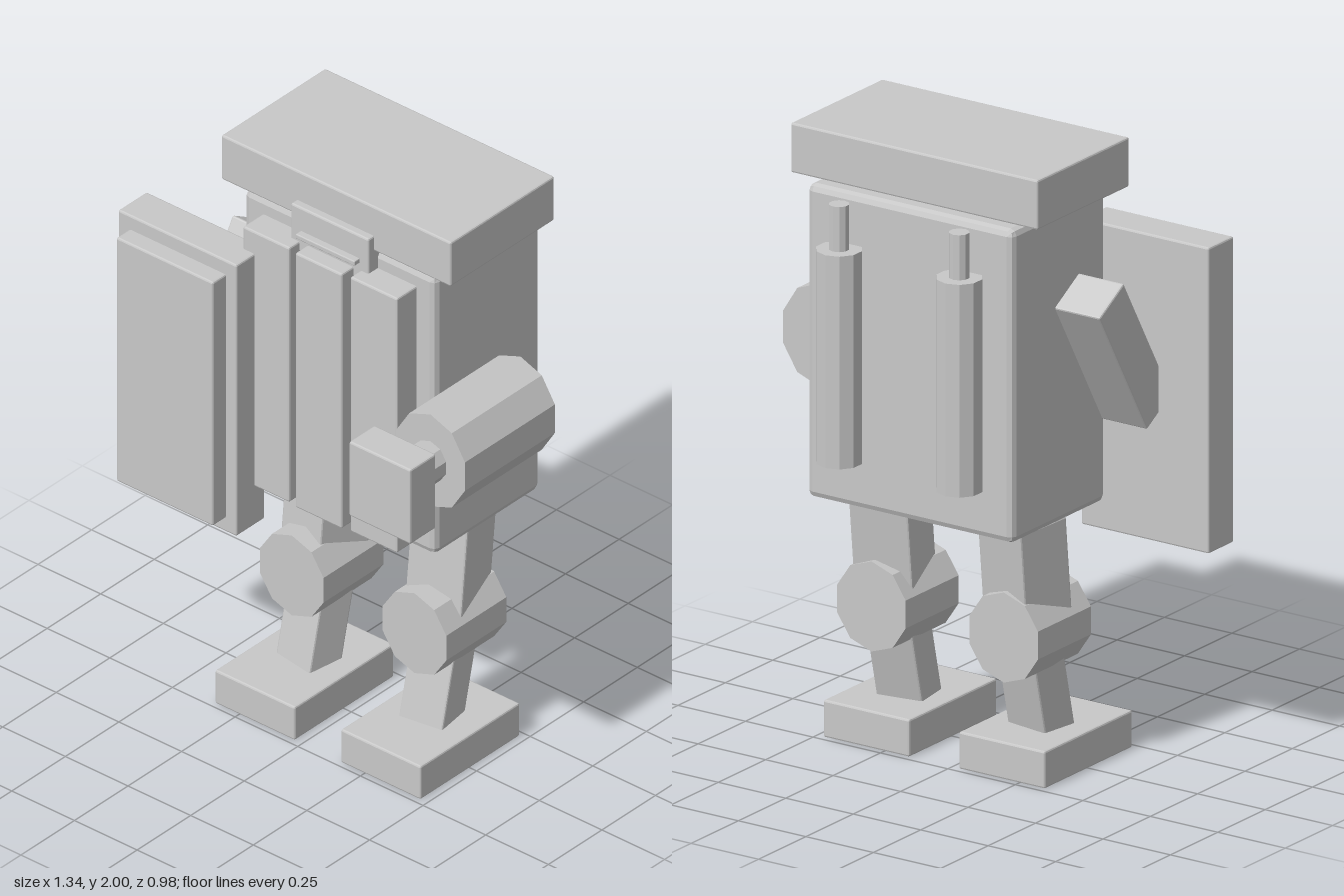
import * as THREE from 'three';
import { RoundedBoxGeometry } from 'three/addons/geometries/RoundedBoxGeometry.js';

const grey = new THREE.MeshStandardMaterial({ color: 0xc8c8c8 });
grey.name = 'plainGrey';
grey.flatShading = true;

export function createModel() {
  const model = new THREE.Group();
  model.name = 'robot';

  function add(name, geometry, x, y, z) {
    const mesh = new THREE.Mesh(geometry, grey);
    mesh.name = name;
    mesh.position.set(x, y, z);
    model.add(mesh);
    return mesh;
  }

  // Box with chamfered edges, given by its limits on each axis
  function block(name, [x0, x1], [y0, y1], [z0, z1], bevel = 0.006) {
    const g = new RoundedBoxGeometry(x1 - x0, y1 - y0, z1 - z0, 1, bevel);
    g.computeVertexNormals();
    return add(name, g, (x0 + x1) / 2, (y0 + y1) / 2, (z0 + z1) / 2);
  }

  // Ten-sided cylinder lying along z, with its own width and height
  function drumZ(name, rx, ry, x, y, z0, z1) {
    const g = new THREE.CylinderGeometry(1, 1, z1 - z0, 10);
    g.rotateX(Math.PI / 2);
    g.scale(rx, ry, 1);
    return add(name, g, x, y, (z0 + z1) / 2);
  }

  // Head: flat top slab, face box and visor bar
  block('topSlab', [-0.395, 0.52], [1.84, 2], [-0.34, 0.145]);
  block('face', [-0.095, 0.215], [1.735, 1.895], [-0.11, 0.172]);
  block('visor', [-0.055, 0.18], [1.795, 1.812], [0.16, 0.196], 0.003);

  // Torso with three upright chest panels
  block('torso', [-0.32, 0.443], [0.818, 1.828], [-0.365, 0.128], 0.022);
  block('chestPanelRight', [-0.245, -0.06], [0.845, 1.77], [0.08, 0.22]);
  block('chestPanelMiddle', [-0.03, 0.155], [0.845, 1.77], [0.08, 0.227]);
  block('chestPanelLeft', [0.183, 0.37], [0.845, 1.77], [0.08, 0.22]);

  // Back tanks with nozzles
  for (const x of [-0.16, 0.285]) {
    add('tank', new THREE.CylinderGeometry(0.073, 0.073, 0.685, 10), x, 1.3225, -0.418);
    add('tankNozzle', new THREE.CylinderGeometry(0.032, 0.032, 0.2, 10), x, 1.71, -0.418);
  }

  // Shield carried on the slanted right arm
  block('shield', [-0.67, -0.198], [0.705, 1.69], [0.172, 0.305]);
  block('shieldFace', [-0.625, -0.24], [0.755, 1.64], [0.25, 0.366]);
  const arm = block('shieldArm', [-0.485, -0.29], [1.089, 1.589], [-0.025, 0.125]);
  arm.rotation.x = -0.53;

  // Left arm: drum, wrist and fist
  drumZ('armDrum', 0.1446, 0.167, 0.528, 1.265, -0.172, 0.248);
  drumZ('wrist', 0.066, 0.07, 0.528, 1.265, 0.2, 0.4);
  block('fist', [0.405, 0.65], [1.13, 1.4], [0.365, 0.485]);

  // Legs: tilted thigh and shin joined by a knee drum, on a flat foot
  for (const side of [-1, 1]) {
    const cx = 0.062 + side * 0.245;
    const thigh = block('thigh', [cx - 0.097, cx + 0.097], [0.46, 0.81], [-0.19, 0]);
    thigh.position.z = -0.103;
    thigh.rotation.set(-0.1, side * 0.22, 0);

    drumZ('knee', 0.1335, 0.145, cx, 0.45, -0.216, 0.064);

    const shin = block('shin', [cx - 0.078, cx + 0.078], [0.07, 0.42], [-0.12, 0.01]);
    shin.position.z = -0.047;
    shin.rotation.set(-0.23, side * 0.15, 0);

    const fx = 0.064 + side * 0.251;
    block('foot', [fx - 0.159, fx + 0.159], [0, 0.12], [-0.232, 0.232]);
  }

  return model;
}
